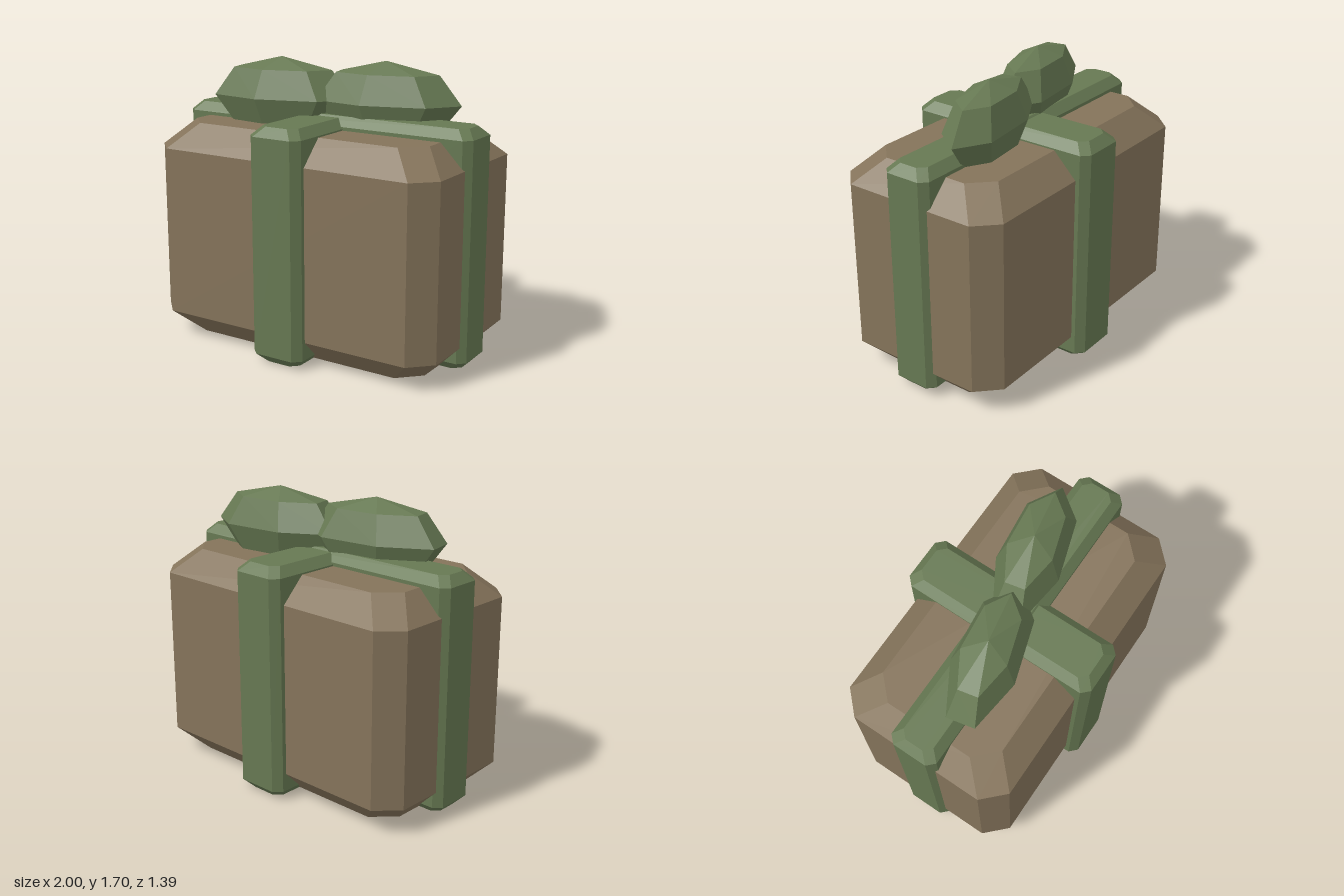
import * as THREE from 'three';

// Octagon with cut corners, counter-clockwise seen from above
function octagon(hx, hz, cut, y) {
  const a = hx - cut, b = hz - cut;
  return [[hx, b], [hx, -b], [a, -hz], [-a, -hz], [-hx, -b], [-hx, b], [-a, hz], [a, hz]]
    .map(([x, z]) => [x, y, z]);
}

// Box with cut vertical corners and sloped top and bottom edges
function cutBox({ hx, hz, y0, y1, cut, inset, rise }) {
  const rings = [
    octagon(hx - inset, hz - inset, cut, y0),
    octagon(hx, hz, cut, y0 + rise),
    octagon(hx, hz, cut, y1 - rise),
    octagon(hx - inset, hz - inset, cut, y1),
  ];
  const n = 8, index = [];
  for (let r = 0; r < 3; r++) {
    for (let i = 0; i < n; i++) {
      const a = r * n + i, b = r * n + (i + 1) % n;
      index.push(a, b, b + n, a, b + n, a + n);
    }
  }
  for (let i = 1; i < n - 1; i++) {
    index.push(0, i + 1, i);
    index.push(3 * n, 3 * n + i, 3 * n + i + 1);
  }
  const g = new THREE.BufferGeometry();
  g.setAttribute('position', new THREE.Float32BufferAttribute(rings.flat(2), 3));
  g.setIndex(index);
  const flat = g.toNonIndexed();
  flat.computeVertexNormals();
  return flat;
}

export function createModel() {
  const paper = new THREE.MeshStandardMaterial({ color: 0x84735a, flatShading: true });
  paper.name = 'brown paper';
  const green = new THREE.MeshStandardMaterial({ color: 0x667852, flatShading: true });
  green.name = 'green ribbon';

  const model = new THREE.Group();
  model.name = 'giftBox';
  const add = (parent, name, geometry, material) => {
    const mesh = new THREE.Mesh(geometry, material);
    mesh.name = name;
    parent.add(mesh);
    return mesh;
  };

  // Wrapped parcel, turned slightly
  const parcel = new THREE.Group();
  parcel.name = 'parcel';
  parcel.rotation.y = -0.211;
  model.add(parcel);

  add(parcel, 'box', cutBox({
    hx: 0.935, hz: 0.537, y0: 0.012, y1: 1.312, cut: 0.125, inset: 0.143, rise: 0.145,
  }), paper);
  add(parcel, 'ribbonLengthwise', cutBox({
    hx: 0.965, hz: 0.147, y0: 0.012, y1: 1.385, cut: 0.043, inset: 0.05, rise: 0.053,
  }), green);
  add(parcel, 'ribbonCrosswise', cutBox({
    hx: 0.168, hz: 0.607, y0: 0, y1: 1.375, cut: 0.045, inset: 0.052, rise: 0.054,
  }), green);

  // Two faceted bow loops on top
  const loop = new THREE.SphereGeometry(1, 7, 4, Math.PI).scale(0.445, 0.235, 0.19);
  for (const [name, x] of [['bowLoopRight', -0.312], ['bowLoopLeft', 0.332]]) {
    add(model, name, loop, green).position.set(x, 1.461, 0);
  }
  return model;
}
